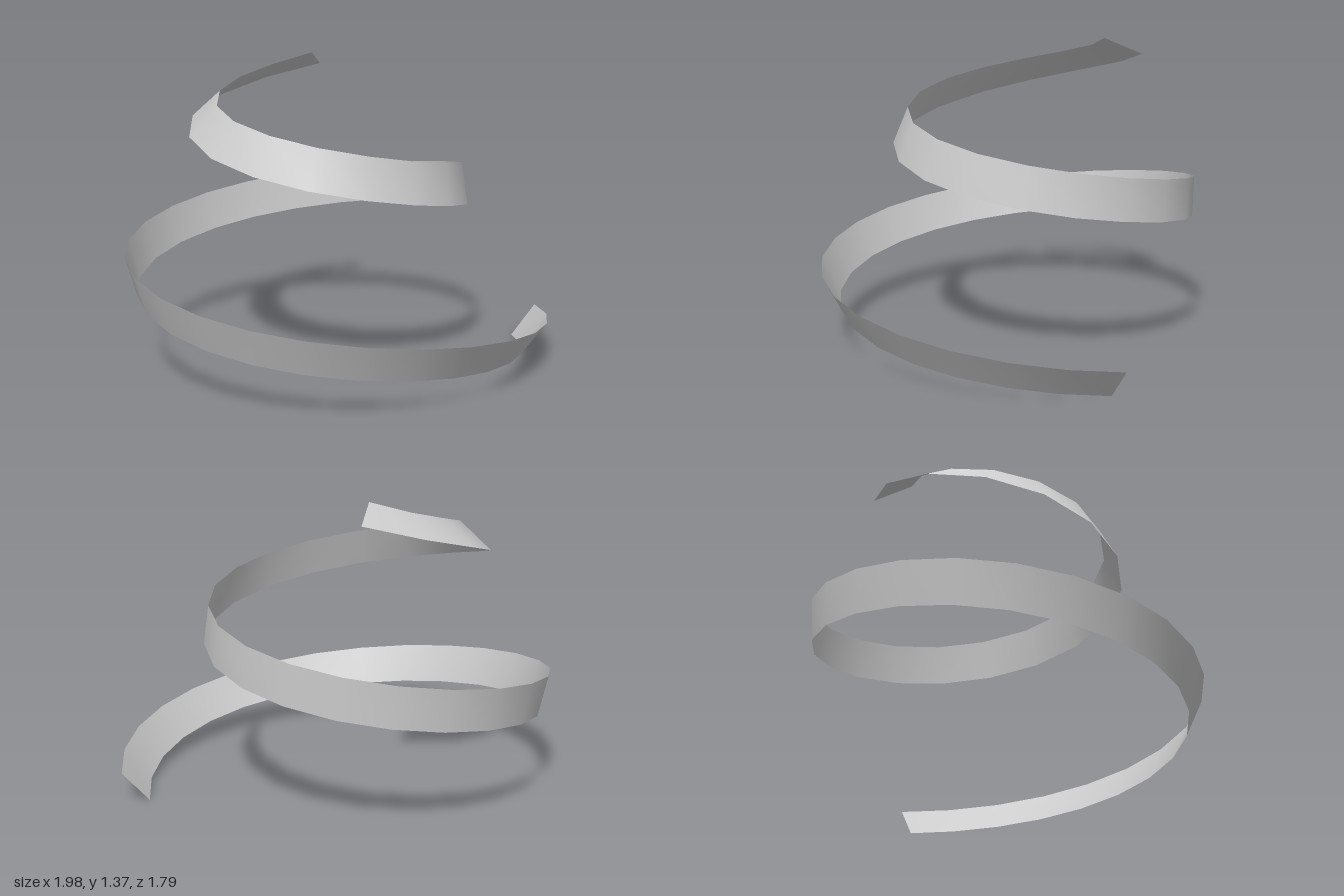
import * as THREE from 'three';

const STEPS = 36;
const WIDTH = 0.187;
const CENTRE = { x: -0.097, z: -0.1 };
const R_AXIS = 1.0365;                 // spiral radius at angle zero
const SHRINK = 0.084 / (Math.PI / 2);  // radius lost per radian
const R_START = 1.0303, R_END = 0.4304;
const CLIMB = 1.262 / THREE.MathUtils.degToRad(642.8);
const Y_START = 0.073;

// lean of the ribbon from upright, in degrees, at evenly spaced stations
const lean = new THREE.SplineCurve(
  [40, 28.6, 17.4, 5.8, -7, -27, -67].map((deg, i) => new THREE.Vector2(i, deg))
);

// Upper and lower edge points of the ribbon at t in 0..1 (even steps of length)
function crossSection(t) {
  const r = Math.sqrt(THREE.MathUtils.lerp(R_START ** 2, R_END ** 2, t));
  const angle = (R_AXIS - r) / SHRINK;
  const startAngle = (R_AXIS - R_START) / SHRINK;
  const c = Math.cos(angle), s = Math.sin(angle);
  const middle = new THREE.Vector3(
    CENTRE.x + r * c, Y_START + CLIMB * (angle - startAngle), CENTRE.z + r * s
  );
  // frame square to the path
  const tangent = new THREE.Vector3(-r * s - SHRINK * c, CLIMB, r * c - SHRINK * s).normalize();
  const up = new THREE.Vector3(0, 1, 0).addScaledVector(tangent, -tangent.y).normalize();
  const out = new THREE.Vector3().crossVectors(up, tangent);
  const tilt = THREE.MathUtils.degToRad(lean.getPoint(t).y);
  const across = up.multiplyScalar(Math.cos(tilt)).addScaledVector(out, Math.sin(tilt));
  return [
    middle.clone().addScaledVector(across, WIDTH / 2),
    middle.clone().addScaledVector(across, -WIDTH / 2),
  ];
}

export function createModel() {
  const points = [];
  const index = [];
  for (let i = 0; i <= STEPS; i++) {
    points.push(...crossSection(i / STEPS));
    if (i < STEPS) {
      const a = i * 2;
      index.push(a, a + 2, a + 1, a + 1, a + 2, a + 3);
    }
  }
  const geometry = new THREE.BufferGeometry().setFromPoints(points);
  geometry.setIndex(index);
  geometry.computeVertexNormals();

  const grey = new THREE.MeshStandardMaterial({ color: 0xcccccc, side: THREE.DoubleSide });
  grey.name = 'light grey';

  // single twisting strip that winds upward and inward
  const ribbon = new THREE.Mesh(geometry, grey);
  ribbon.name = 'spiralRibbon';

  const group = new THREE.Group();
  group.name = 'ribbonSpiral';
  group.add(ribbon);
  return group;
}
